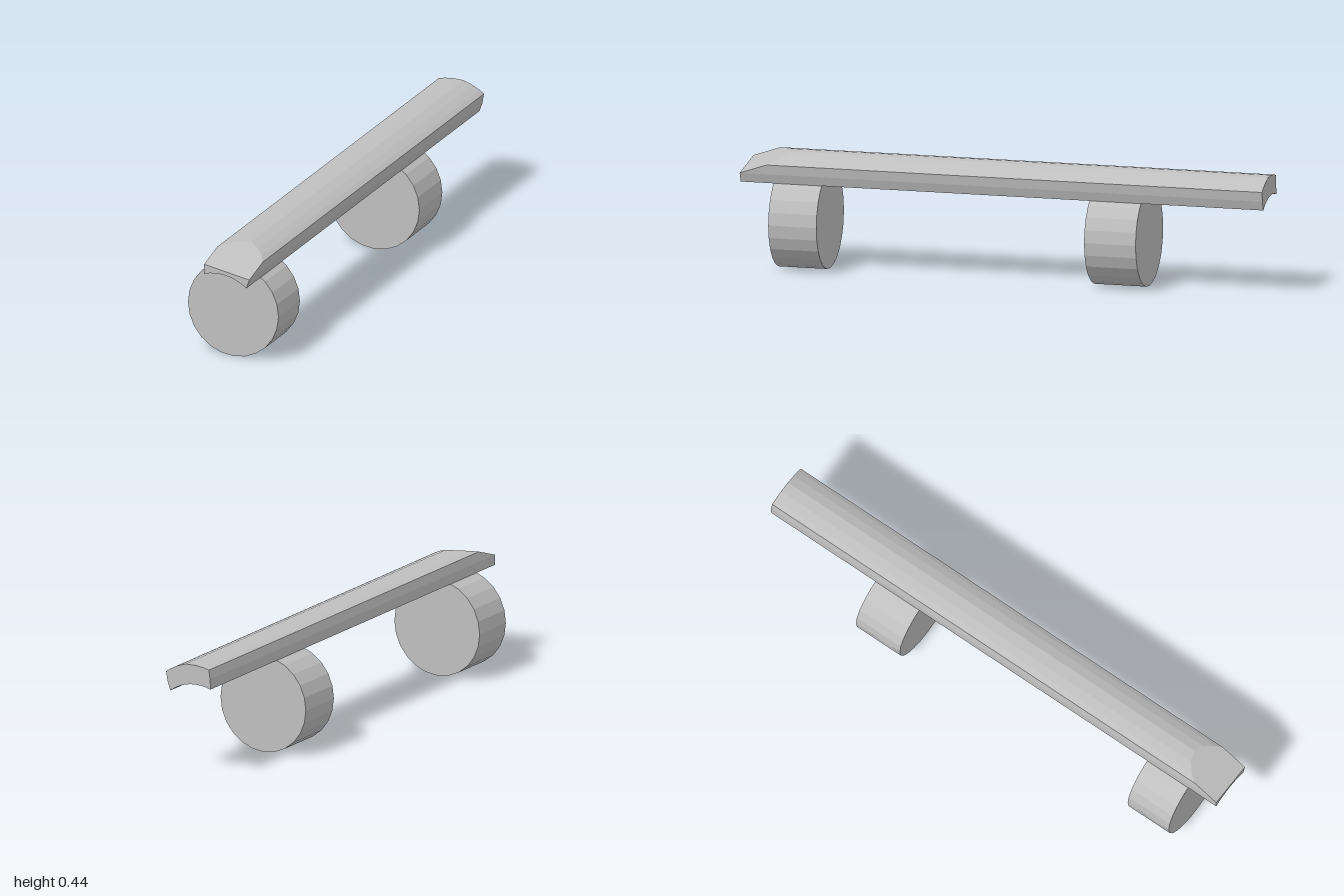
import * as THREE from 'three';

const R = 0.184; // wheel radius, also the curve of the beam's underside

export function createModel() {
  const group = new THREE.Group();
  const grey = new THREE.MeshStandardMaterial({ color: 0xbfbfbf, flatShading: true });
  grey.name = 'plain grey';

  // Two short drums lying along z
  for (const [name, z, width] of [['frontWheel', 0.782, 0.184], ['rearWheel', -0.433, 0.197]]) {
    const wheel = new THREE.Mesh(new THREE.CylinderGeometry(R, R, width, 24).rotateX(Math.PI / 2), grey);
    wheel.name = name;
    wheel.position.set(0, R, z);
    group.add(wheel);
  }

  const beam = new THREE.Mesh(beamGeometry(), grey);
  beam.name = 'beam';
  group.add(beam);
  return group;
}

// Tilted, arched bar with a sloping cut on the upper front end
function beamGeometry() {
  const under = [];
  for (let i = 0; i <= 8; i++) {
    const x = -0.06 + 0.173 * i / 8;
    under.push(new THREE.Vector2(x, R + Math.sqrt(R * R - x * x)));
  }
  const midRight = new THREE.Vector2(0.125, 0.364);
  const midLeft = new THREE.Vector2(-0.059, 0.396);
  const top = [[0.131, 0.4], [0.114, 0.412], [0.085, 0.427], [0.048, 0.44],
    [0.005, 0.441], [-0.03, 0.437], [-0.053, 0.431]].map(p => new THREE.Vector2(...p));
  const loop = [...under, midRight, ...top, midLeft];

  // The front end is upright below the middle line and slopes back above it
  const frontZ = p => {
    const t = (p.x - midLeft.x) / (midRight.x - midLeft.x);
    const rise = p.y - THREE.MathUtils.lerp(midLeft.y, midRight.y, t);
    return 1 - Math.max(0, rise) / 0.355;
  };
  const pos = [];
  const front = p => pos.push(p.x, p.y, under.includes(p) ? 1 : frontZ(p));
  const back = p => pos.push(p.x, p.y, -1);

  // Long faces
  loop.forEach((a, i) => {
    const b = loop[(i + 1) % loop.length];
    back(a); back(b); front(b);
    back(a); front(b); front(a);
  });
  // End faces
  const cap = (points, put, flip) => {
    for (const [a, b, c] of THREE.ShapeUtils.triangulateShape(points, [])) {
      for (const k of flip ? [a, c, b] : [a, b, c]) put(points[k]);
    }
  };
  cap([...under, midRight, midLeft], front, false);
  cap([midRight, ...top, midLeft], front, false);
  cap(loop, back, true);

  const geometry = new THREE.BufferGeometry();
  geometry.setAttribute('position', new THREE.Float32BufferAttribute(pos, 3));
  geometry.computeVertexNormals();
  return geometry;
}
